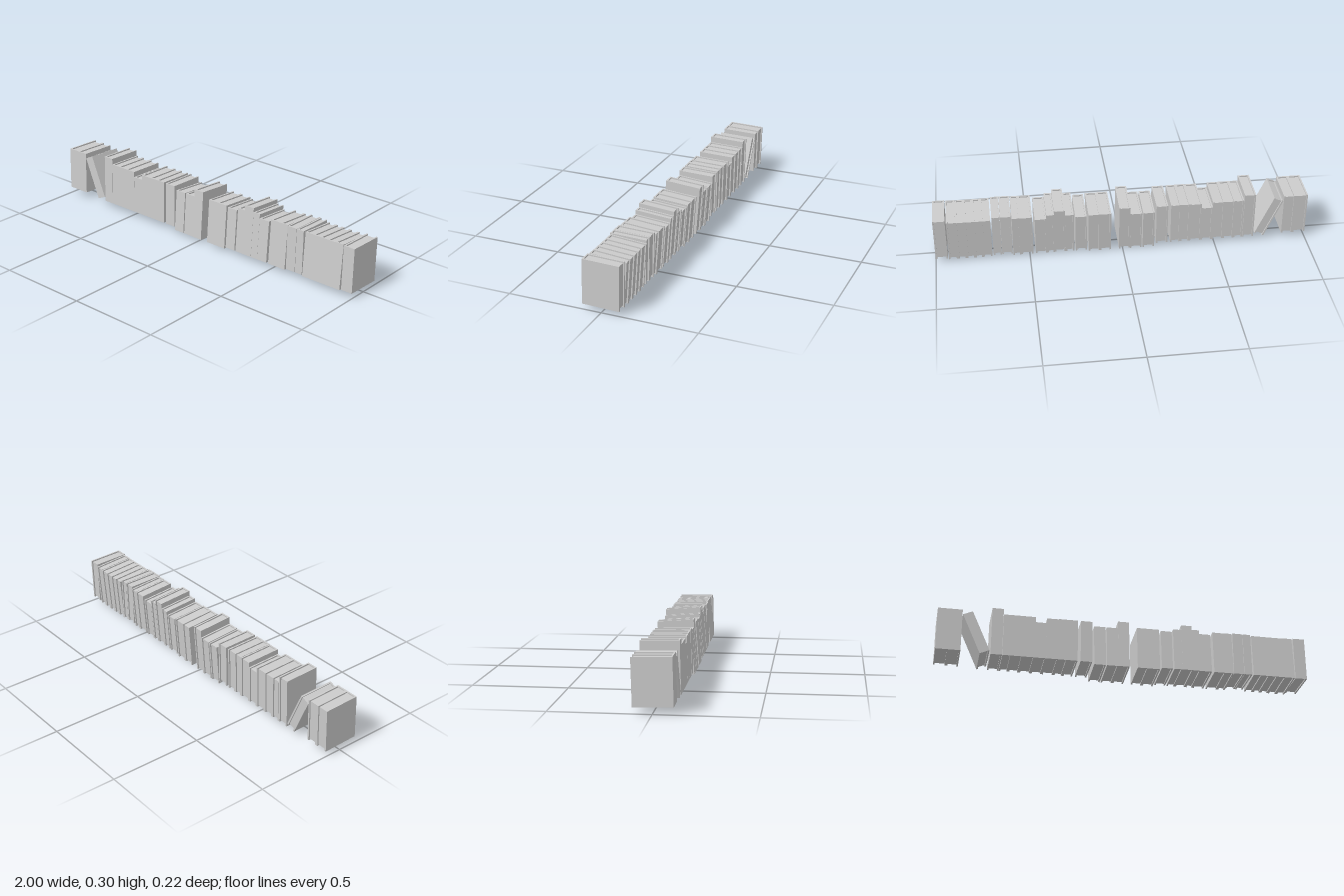
import * as THREE from 'three';

const DEPTH = 0.196, BOARD = 0.008, INSET = 0.007;
const LIGHT = 0.026, HEAVY = 0.077; // backward tilt in radians

// One book: a U-shaped cover (spine at +z) around a recessed page block
function makeBook(width, height, material) {
  const book = new THREE.Group();
  book.name = 'book';
  const w = width / 2, d = DEPTH / 2, i = w - BOARD;
  const outline = [[-w, -d], [w, -d], [w, d], [i, d], [i, -d + BOARD], [-i, -d + BOARD], [-i, d], [-w, d]];
  const shape = new THREE.Shape(outline.map(([x, y]) => new THREE.Vector2(x, y)));
  const coverGeo = new THREE.ExtrudeGeometry(shape, { depth: height, bevelEnabled: false });
  coverGeo.translate(0, 0, -height / 2).rotateX(-Math.PI / 2);
  const cover = new THREE.Mesh(coverGeo, material);
  cover.name = 'cover';

  const pageDepth = DEPTH - BOARD - INSET;
  const pages = new THREE.Mesh(new THREE.BoxGeometry(i * 2, height - INSET * 2, pageDepth), material);
  pages.position.z = d - BOARD - pageDepth / 2;
  pages.name = 'pages';
  book.add(cover, pages);
  return book;
}

// Runs of books: tilt, height of the lower front edge, [left x, right x, top y] per book
const RUNS = [
  { tilt: LIGHT, base: 0.037, books: [[-1, -0.932, 0.275], [-0.932, -0.87, 0.275]] },
  { tilt: LIGHT, base: 0.03, books: [
    [-0.715, -0.655, 0.3], [-0.653, -0.604, 0.268], [-0.604, -0.546, 0.268], [-0.546, -0.484, 0.268],
    [-0.484, -0.424, 0.238], [-0.424, -0.36, 0.266], [-0.36, -0.311, 0.268], [-0.311, -0.258, 0.268],
    [-0.242, -0.18, 0.268]] },
  { tilt: HEAVY, base: 0.0162, books: [
    [-0.17, -0.108, 0.246], [-0.102, -0.04, 0.246], [-0.04, 0.02, 0.287],
    [0.063, 0.122, 0.258], [0.122, 0.184, 0.258]] },
  { tilt: HEAVY, base: 0.026, books: [
    [0.194, 0.254, 0.252], [0.262, 0.308, 0.268], [0.308, 0.366, 0.297], [0.366, 0.407, 0.275],
    [0.407, 0.468, 0.253], [0.481, 0.545, 0.269], [0.545, 0.588, 0.27]] },
  { tilt: LIGHT, base: 0.03, books: [[0.592, 0.648, 0.27], [0.65, 0.693, 0.27]] },
  { tilt: HEAVY, base: 0.028, books: [
    [0.7, 0.748, 0.268], [0.748, 0.79, 0.268], [0.79, 0.835, 0.268], [0.835, 0.882, 0.268],
    [0.882, 0.93, 0.27]] },
  { tilt: LIGHT, base: 0.03, books: [[0.936, 1, 0.27]] },
];

export function createModel() {
  const group = new THREE.Group();
  group.name = 'bookRow';
  const material = new THREE.MeshStandardMaterial({ color: 0xcccccc, flatShading: true });

  // Upright books
  for (const { tilt, base, books } of RUNS) {
    for (const [left, right, top] of books) {
      const height = (top - base) / Math.cos(tilt);
      const book = makeBook(right - left, height, material);
      book.position.set((left + right) / 2, (top + base) / 2 - Math.sin(tilt) * DEPTH / 2, 0);
      book.rotation.x = -tilt;
      group.add(book);
    }
  }

  // Book slumped sideways in the gap
  const leaning = makeBook(0.055, 0.24, material);
  leaning.name = 'leaningBook';
  leaning.position.set(-0.794, 0.147, 0);
  leaning.rotation.set(-LIGHT, 0, 0.415);
  group.add(leaning);

  return group;
}
